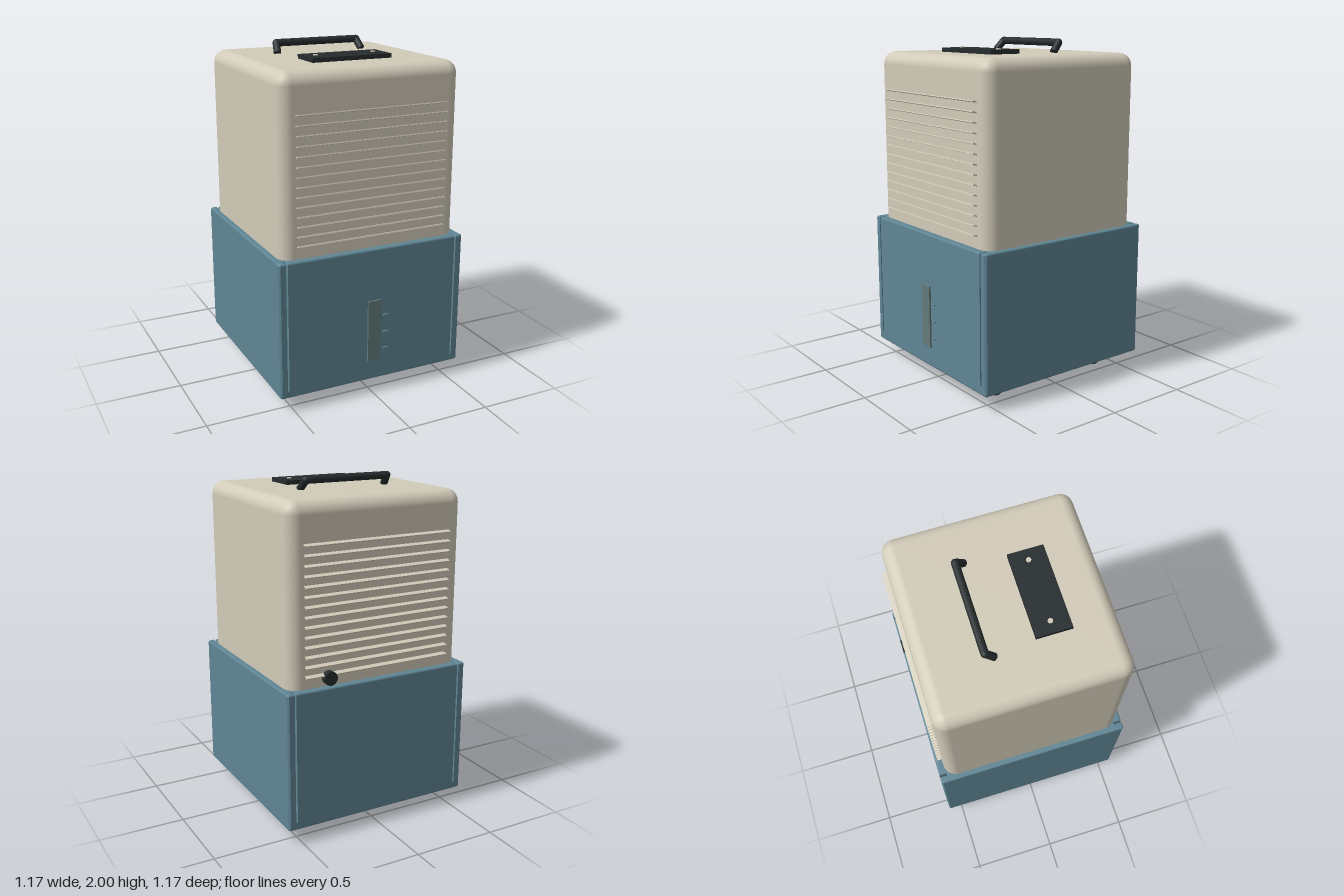
import * as THREE from 'three';
import { RoundedBoxGeometry } from 'three/addons/geometries/RoundedBoxGeometry.js';

const mat = (color) => new THREE.MeshStandardMaterial({ color });
const cream = mat(0xd2cbb9), blue = mat(0x5f8594), dark = mat(0x262c2e), glass = mat(0x657a7a);

export function createModel() {
  const model = new THREE.Group();

  const add = (name, geometry, material, x, y, z) => {
    const mesh = new THREE.Mesh(geometry, material);
    mesh.name = name;
    mesh.position.set(x, y, z);
    model.add(mesh);
    return mesh;
  };
  const box = (name, material, w, h, d, x, y, z) =>
    add(name, new THREE.BoxGeometry(w, h, d), material, x, y, z);

  // Upper housing, its lower end sunk into the tank
  add('housing', new RoundedBoxGeometry(1.105, 1.2, 1.075, 4, 0.075), cream, 0, 1.32, -0.007);

  // Water tank: footprint with a narrow slot beside each front and back corner
  const hx = 0.583, hz = 0.577, zc = -0.008, c = 0.01, slotX = 0.535, slotW = 0.005, slotD = 0.045;
  const side = [[hx, hz - c], [hx - c, hz], [slotX + slotW, hz], [slotX + slotW, hz - slotD],
    [slotX - slotW, hz - slotD], [slotX - slotW, hz]];
  const mirrorX = side.map(([x, z]) => [-x, z]).reverse();
  const half = [...side, ...mirrorX];
  const outline = [...half, ...half.map(([x, z]) => [-x, -z])];
  const bevel = 0.01;
  const tank = new THREE.ExtrudeGeometry(
    new THREE.Shape(outline.map(([x, z]) => new THREE.Vector2(x, z))),
    { depth: 0.79 - 2 * bevel, bevelThickness: bevel, bevelSize: bevel, bevelOffset: -bevel, bevelSegments: 3 });
  tank.rotateX(-Math.PI / 2);
  add('tank', tank, blue, 0, 0.11 + bevel, zc);
  add('tankFloor', new RoundedBoxGeometry(hx * 2, 0.055, hz * 2, 3, 0.014), blue, 0, 0.1175, zc);

  // Tilted louvre slats on front and back
  for (let i = 0; i < 14; i++) {
    const y = 0.972 + i * 0.0554;
    for (const [name, z] of [['frontSlat', 0.535], ['backSlat', -0.55]]) {
      box(name, cream, 0.915, 0.007, 0.042, 0, y, z).rotation.x = -0.3;
    }
  }

  // Carrying handle: one bar with two short sloping legs
  const corner = (s) => new THREE.Vector3(s * 0.262, 1.978, -0.195);
  const foot = (s) => new THREE.Vector3(s * 0.274, 1.925, -0.148);
  const rod = (name, a, b, r) => {
    const mid = a.clone().add(b).multiplyScalar(0.5);
    const mesh = add(name, new THREE.CylinderGeometry(r, r, a.distanceTo(b), 12), dark, mid.x, mid.y, mid.z);
    mesh.quaternion.setFromUnitVectors(new THREE.Vector3(0, 1, 0), b.clone().sub(a).normalize());
  };
  rod('handleBar', corner(-1), corner(1), 0.022);
  for (const s of [-1, 1]) {
    rod('handleLeg', corner(s), foot(s), 0.022);
    const p = corner(s);
    add('handleCorner', new THREE.SphereGeometry(0.022, 12, 8), dark, p.x, p.y, p.z);
  }

  // Control panel with two buttons
  box('controlPanel', dark, 0.49, 0.027, 0.2, 0, 1.931, 0.18);
  for (const s of [-1, 1]) {
    add('button', new THREE.CylinderGeometry(0.014, 0.014, 0.008, 20), cream, s * 0.18, 1.947, 0.178);
  }

  // Drain cap on the back
  add('drainCap', new THREE.CylinderGeometry(0.04, 0.04, 0.045, 20), dark, 0.315, 0.95, -0.5605)
    .rotation.x = Math.PI / 2;

  // Water level window and its marks
  box('levelWindow', glass, 0.08, 0.375, 0.016, 0, 0.403, 0.572);
  for (const y of [0.28, 0.385, 0.49]) {
    box('levelMark', blue, 0.032, 0.007, 0.016, 0.075, y, 0.573);
  }

  // Castors
  for (const x of [-0.395, 0.395]) {
    for (const z of [0.375, -0.385]) {
      add('wheel', new THREE.CylinderGeometry(0.054, 0.054, 0.066, 18), dark, x, 0.054, z)
        .rotation.z = Math.PI / 2;
      box('wheelBracket', dark, 0.076, 0.045, 0.06, x, 0.073, z);
    }
  }

  return model;
}
